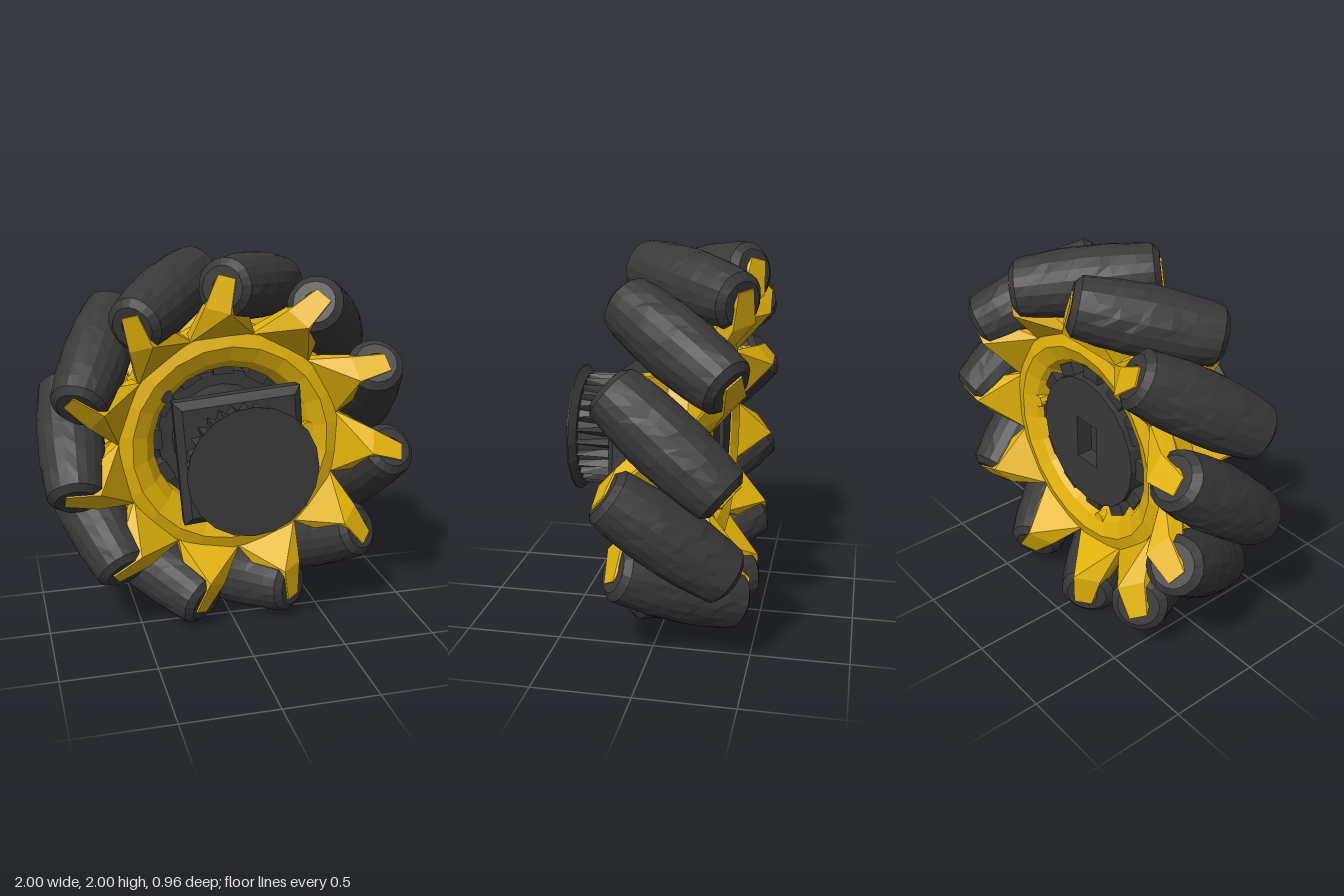
import * as THREE from 'three';
import { ConvexGeometry } from 'three/addons/geometries/ConvexGeometry.js';

const COUNT = 11;              // rollers around the wheel
const TILT = THREE.MathUtils.degToRad(50);
const MID_R = 0.826;           // roller axis distance from the wheel axis
const HALF = 0.37;             // roller half length
const WHEEL_Z = -0.13;

function mat(name, color) {
  const m = new THREE.MeshStandardMaterial({ color, flatShading: true });
  m.name = name;
  return m;
}

function add(parent, name, geometry, material) {
  const mesh = new THREE.Mesh(geometry, material);
  mesh.name = name;
  parent.add(mesh);
  return mesh;
}

const v2 = (x, y) => new THREE.Vector2(x, y);
const v3 = (x, y, z) => new THREE.Vector3(x, y, z);

// Barrel roller with sunken ends, its surface slightly dented
function rollerGeometry() {
  const radius = s => 1.002 - Math.hypot(MID_R, s * Math.cos(TILT));
  const pts = [v2(0, -0.3), v2(0.05, -0.3), v2(0.055, -HALF), v2(0.11, -HALF)];
  for (let i = -5; i <= 5; i++) pts.push(v2(radius(i * 0.068), i * 0.068));
  pts.push(v2(0.11, HALF), v2(0.055, HALF), v2(0.05, 0.3), v2(0, 0.3));
  const g = new THREE.LatheGeometry(pts, 20);
  const p = g.attributes.position;
  for (let i = 0; i < p.count; i++) {
    const x = p.getX(i), y = p.getY(i), z = p.getZ(i);
    if (Math.hypot(x, z) < 0.08) continue;
    const k = 1 - 0.013 * (1 + Math.sin(x * 191 + y * 157 + z * 273));
    const slide = Math.abs(y) < 0.3 ? 0.02 * Math.sin(x * 167 - z * 183 + y * 40) : 0;
    p.setXYZ(i, x * k, y + slide, z * k);
  }
  return g;
}

// Arm from the rim to one roller end; side is +1 at the front, -1 at the back
function armGeometry(side) {
  const pts = [];
  // foot on the rim
  for (const a of [-0.04, 0.57]) {
    for (const z of [0.02, 0.13]) {
      pts.push(v3(0.59 * Math.cos(a), side * 0.59 * Math.sin(a), side * z));
    }
  }
  // tip plate square to the roller axis
  const c = Math.cos(TILT), s = Math.sin(TILT);
  for (const along of [HALF - 0.02, HALF + 0.008]) {
    for (const [r, w] of [[0.71, -0.075], [0.71, 0.07], [0.885, -0.065], [0.885, 0.03]]) {
      pts.push(v3(r, side * (along * c + w * s), side * (along * s - w * c)));
    }
  }
  return new ConvexGeometry(pts);
}

// Solid turned around z from a (radius, z) profile
function turned(profile, sides) {
  const g = new THREE.LatheGeometry(profile.map(([r, z]) => v2(r, z)), sides);
  return g.rotateX(Math.PI / 2);
}

export function createModel() {
  const model = new THREE.Group();
  model.name = 'rollerWheel';
  const gold = mat('yellow frame', 0xe2b30a);
  const dark = mat('dark rubber', 0x393939);

  // Rollers and the arms that hold them
  const wheel = new THREE.Group();
  wheel.name = 'wheel';
  wheel.position.set(0, 1, WHEEL_Z);
  model.add(wheel);
  const rollerGeo = rollerGeometry();
  const frontArmGeo = armGeometry(1);
  const backArmGeo = armGeometry(-1);
  for (let i = 0; i < COUNT; i++) {
    const unit = new THREE.Group();
    unit.name = 'rollerUnit';
    unit.rotation.z = THREE.MathUtils.degToRad(341) + (i * 2 * Math.PI) / COUNT;
    wheel.add(unit);
    const roller = add(unit, 'roller', rollerGeo, dark);
    roller.position.x = MID_R;
    roller.rotation.x = TILT;
    add(unit, 'frontArm', frontArmGeo, gold);
    add(unit, 'backArm', backArmGeo, gold);
  }

  // Rim, dished on both faces
  add(wheel, 'rim', turned([
    [0.4, -0.06], [0.45, -0.135], [0.53, -0.17], [0.6, -0.15], [0.62, -0.08],
    [0.62, 0.08], [0.6, 0.15], [0.53, 0.17], [0.45, 0.135], [0.4, 0.06], [0.4, -0.06],
  ], 22), gold);

  // Bolts through the rim
  for (const [x, y, m] of [[-0.34, 0.28, dark], [0.43, 0.05, gold], [-0.09, -0.44, gold]]) {
    const bolt = add(wheel, 'bolt', new THREE.CylinderGeometry(0.035, 0.035, 0.28, 10), m);
    bolt.rotation.x = Math.PI / 2;
    bolt.position.set(x, y, 0);
  }

  // Hub: everything centred on the axle
  const hub = new THREE.Group();
  hub.name = 'hub';
  hub.position.y = 1;
  model.add(hub);

  // Back drum with a rectangular socket and lugs around it
  const drumShape = new THREE.Shape().absarc(0, 0, 0.36, 0, Math.PI * 2);
  drumShape.holes.push(new THREE.Path([v2(-0.08, -0.12), v2(-0.08, 0.12), v2(0.08, 0.12), v2(0.08, -0.12)]));
  const drum = add(hub, 'drum', new THREE.ExtrudeGeometry(drumShape, { depth: 0.1, bevelEnabled: false, curveSegments: 10 }), dark);
  drum.position.z = -0.27;
  const core = add(hub, 'core', new THREE.CylinderGeometry(0.28, 0.28, 0.22, 20), dark);
  core.rotation.x = Math.PI / 2;
  core.position.z = -0.07;
  for (let i = 0; i < 12; i++) {
    const a = (i * Math.PI) / 6;
    const lug = add(hub, 'lug', new THREE.BoxGeometry(0.08, 0.11, 0.1), dark);
    lug.position.set(0.38 * Math.cos(a), 0.38 * Math.sin(a), -0.19);
    lug.rotation.z = a;
  }

  // Square block, narrower towards the wheel
  const corners = [];
  for (const [h, z] of [[0.27, 0], [0.325, 0.17], [0.33, 0.24], [0.29, 0.27]]) {
    for (const sx of [-1, 1]) for (const sy of [-1, 1]) corners.push(v3(sx * h, sy * h, z));
  }
  const block = add(hub, 'squareBlock', new ConvexGeometry(corners), dark);
  block.rotation.z = 0.08;
  block.position.set(0, 0.01, 0);

  // Neck with pointed ribs
  const neck = add(hub, 'neck', new THREE.CylinderGeometry(0.265, 0.265, 0.21, 28), dark);
  neck.rotation.x = Math.PI / 2;
  neck.position.z = 0.355;
  const ribGeo = new ConvexGeometry([
    v3(0.25, -0.032, 0.25), v3(0.25, 0.032, 0.25), v3(0.3, 0, 0.25),
    v3(0.25, -0.012, 0.46), v3(0.25, 0.012, 0.46), v3(0.295, 0, 0.46),
  ]);
  for (let i = 0; i < 28; i++) {
    add(hub, 'rib', ribGeo, dark).rotation.z = (i * 2 * Math.PI) / 28;
  }

  // End flange
  add(hub, 'flange', turned([[0, 0.44], [0.295, 0.44], [0.335, 0.473], [0.335, 0.48], [0, 0.48]], 20), dark);

  return model;
}
